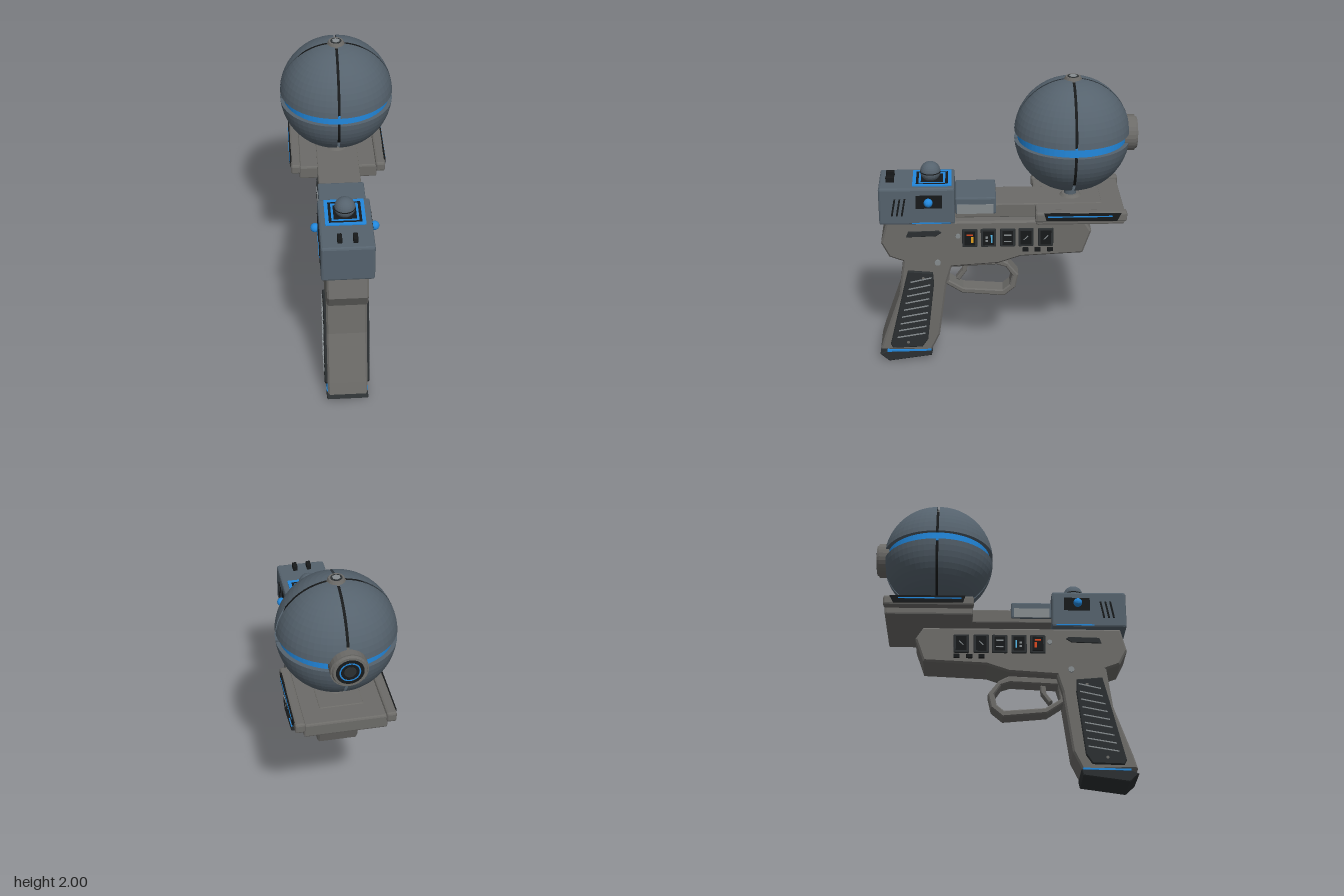
import * as THREE from 'three';
import { RoundedBoxGeometry } from 'three/addons/geometries/RoundedBoxGeometry.js';

const mat = (color, side = THREE.FrontSide) => {
  const m = new THREE.MeshStandardMaterial({ color, side, flatShading: true });
  return m;
};

export function createModel() {
  const root = new THREE.Group();
  root.name = 'orbBlaster';
  const grey = mat(0x6c6b68), slate = mat(0x55626d), shell = mat(0x55626d, THREE.DoubleSide);
  const dark = mat(0x2b2f31), black = mat(0x17191a), blue = mat(0x2288dd), pale = mat(0x858b8e);
  const orange = mat(0xd9481f), yellow = mat(0xe0a020), cyan = mat(0x55b8e8);

  const add = (name, geo, m, x = 0, y = 0, z = 0) => {
    const mesh = new THREE.Mesh(geo, m);
    mesh.name = name;
    mesh.position.set(x, y, z);
    root.add(mesh);
    return mesh;
  };
  // Box with optional chamfered edges
  const box = (name, w, h, d, m, x, y, z, r = 0) =>
    add(name, r ? new RoundedBoxGeometry(w, h, d, 1, r) : new THREE.BoxGeometry(w, h, d), m, x, y, z);
  const cyl = (name, r0, r1, h, m, x, y, z, n = 24) => add(name, new THREE.CylinderGeometry(r0, r1, h, n), m, x, y, z);
  // Side profile of (z, y) points, extruded across x and centred at x
  const plate = (name, pts, width, m, x = 0, bevel = 0, hole = null) => {
    const shape = new THREE.Shape(pts.map(p => new THREE.Vector2(...p)));
    if (hole) shape.holes.push(new THREE.Path(hole.map(p => new THREE.Vector2(...p))));
    const geo = new THREE.ExtrudeGeometry(shape, {
      depth: width - 2 * bevel, bevelEnabled: bevel > 0, bevelSize: bevel,
      bevelThickness: bevel, bevelOffset: -bevel, bevelSegments: 1,
    });
    geo.translate(0, 0, bevel - width / 2);
    geo.rotateY(-Math.PI / 2);
    return add(name, geo, m, x);
  };
  // Flat square ring lying on a top surface
  const squareRing = (name, outer, inner, m, y, z) => {
    const sq = (r) => [[-r, -r], [r, -r], [r, r], [-r, r]].map(p => new THREE.Vector2(...p));
    const shape = new THREE.Shape(sq(outer));
    shape.holes.push(new THREE.Path(sq(inner)));
    const geo = new THREE.ExtrudeGeometry(shape, { depth: 0.008, bevelEnabled: false });
    geo.rotateX(-Math.PI / 2);
    add(name, geo, m, 0, y, z);
  };

  // Frame with grip
  plate('frame', [[.77, 1.05], [-.52, 1.05], [-.57, .97], [-.515, .81], [-.106, .79], [.04, .74],
    [.35, .72], [.385, .6], [.44, .2], [.5, .075], [.845, .09], [.82, .175], [.705, .505],
    [.67, .765], [.76, .8], [.81, .9]], .26, grey, 0, .012);
  plate('gripBase', [[.85, .055], [.79, 0], [.5, .04], [.49, .082], [.81, .078]], .27, dark, 0, .006);
  plate('gripBaseStripe', [[.8, .074], [.5, .078], [.5, .09], [.8, .086]], .272, blue);

  // Trigger and guard
  plate('triggerGuard', [[.39, .735], [.04, .74], [-.025, .705], [-.095, .615], [-.075, .52], [0, .456],
    [.285, .483], [.4, .56]], .12, grey, 0, .008,
  [[.36, .68], [.05, .695], [-.01, .675], [-.053, .61], [-.037, .54], [.01, .5], [.275, .52], [.37, .58]]);
  plate('trigger', [[.28, .7], [.245, .69], [.25, .635], [.3, .565], [.325, .58], [.285, .635]], .06, grey, 0, .006);

  // Details on both flanks of the frame
  for (const s of [1, -1]) {
    plate('gripPanel', [[.64, .7], [.475, .685], [.47, .6], [.52, .175], [.56, .115], [.76, .11],
      [.775, .14], [.665, .6]], .03, dark, s * .132, .006);
    for (let i = 0; i < 9; i++) {
      const y = .635 - i * .053;
      const zb = .635 + (.6 - y) * .24, zf = .49 + (.6 - y) * .118;
      plate('gripRidge', [[zb, y - .02], [zf, y + .012], [zf, y + .02], [zb, y - .012]], .012, pale, s * .146);
    }
    for (const [y, z] of [[.648, .54], [.155, .655]])
      cyl('gripScrew', .01, .01, .012, grey, s * .144, y, z, 10).rotation.z = Math.PI / 2;
    plate('sideSlot', [[.645, .945], [.63, .985], [.43, .99], [.412, .975], [.45, .95]], .012, dark, s * .13, .003);
    for (const [y, z, r] of [[.95, .305, .016], [.757, .442, .02]])
      cyl('pin', r, r, .02, pale, s * .13, y, z, 12).rotation.z = Math.PI / 2;

    // Instrument windows, each with its own indicator
    [.228, .106, -.02, -.14, -.27].forEach((z, i) => {
      box('windowFrame', .02, .13, .1, dark, s * .13, .934, z, .006);
      box('windowGlass', .006, .1, .07, black, s * .139, .934, z);
      if (i === 0) {
        box('indicatorLamp', .004, .04, .016, s > 0 ? yellow : orange, s * .143, .925, z - .015);
        box('indicatorBar', .004, .01, .04, orange, s * .143, .96, z);
      } else if (i === 1) {
        box('indicatorLamp', .004, .055, .01, cyan, s * .143, .93, z - .02);
        for (const y of [.915, .94]) box('indicatorBar', .004, .014, .016, pale, s * .143, y, z + .01);
      } else if (i === 2) {
        for (const y of [.91, .955]) box('indicatorBar', .004, .008, .05, pale, s * .143, y, z);
      } else {
        box('needle', .004, .006, .04, pale, s * .143, .935, z).rotation.x = .8;
      }
    });
    for (const z of [-.138, -.217, -.3]) box('sideButton', .025, .028, .04, black, s * .13, .845, z, .004);
  }

  // Upper beam and cover
  box('beam', .28, .095, .95, grey, 0, 1.132, -.155, .008);
  box('beamCover', .3, .115, .265, slate, 0, 1.172, .187, .01);
  for (const s of [1, -1]) box('coverPanel', .008, .065, .235, pale, s * .15, 1.152, .19);

  // Control head
  box('head', .33, .255, .49, slate, 0, 1.177, .567, .014);
  for (const s of [1, -1]) {
    box('lampPlate', .012, .09, .17, black, s * .164, 1.213, .488);
    add('sideLamp', new THREE.SphereGeometry(.029, 16, 12), blue, s * .186, 1.215, .492);
    for (let i = 0; i < 3; i++) {
      const z = .735 - i * .032;
      plate('vent', [[z, 1.115], [z - .012, 1.115], [z - .034, 1.235], [z - .022, 1.235]], .006, black, s * .165);
    }
    box('headStripe', .006, .008, .25, blue, s * .165, 1.062, .475);
    box('topButton', .03, .04, .055, black, s * .048, 1.325, .74, .005);
  }
  squareRing('outerTopRing', .126, .103, blue, 1.304, .468);
  squareRing('darkTopRing', .103, .086, black, 1.302, .468);
  squareRing('innerTopRing', .086, .072, blue, 1.304, .468);
  box('knobPad', .144, .006, .144, black, 0, 1.305, .468);
  cyl('knobNeck', .028, .045, .04, dark, 0, 1.315, .478, 16);
  add('knob', new THREE.SphereGeometry(.066, 24, 16), slate, 0, 1.358, .478);
  cyl('knobSeam', .0668, .0668, .007, black, 0, 1.358, .478);

  // Orb platform with side rails
  box('platform', .52, .095, .57, grey, 0, 1.128, -.482, .012);
  for (const s of [1, -1]) {
    box('rail', .065, .068, .585, grey, s * .283, 1.158, -.483, .014);
    plate('railGroove', [[-.245, 1.19], [-.735, 1.185], [-.71, 1.135], [-.26, 1.14]], .012, black, s * .315);
    box('railLight', .006, .008, .41, blue, s * .321, 1.168, -.475);
  }
  cyl('orbFoot', .055, .075, .02, grey, 0, 1.185, -.435);
  cyl('orbNeck', .04, .04, .07, slate, 0, 1.22, -.435);

  // Orb: eight shell segments around a dark core, with a lit equator band
  const cy = 1.612, cz = -.435, R = .362, gap = .01;
  add('orbCore', new THREE.SphereGeometry(.338, 40, 28), black, 0, cy, cz);
  cyl('orbBand', .347, .347, .056, blue, 0, cy, cz, 64);
  for (const v of [1, -1]) {
    const profile = [new THREE.Vector2(.33, v * .03)];
    const start = Math.asin(.03 / R);
    for (let i = 0; i <= 14; i++) {
      const a = start + (Math.PI / 2 - start) * i / 14;
      profile.push(new THREE.Vector2(R * Math.cos(a), v * (R * Math.sin(a) + .008 * i / 14)));
    }
    if (v < 0) profile.reverse();
    for (let q = 0; q < 4; q++) {
      const phi = q * Math.PI / 2, mid = phi + Math.PI / 4;
      add('orbShell', new THREE.LatheGeometry(profile, 14, phi, Math.PI / 2), shell,
        Math.sin(mid) * gap * 1.2, cy, cz + Math.cos(mid) * gap * 1.2);
    }
  }
  cyl('orbCap', .048, .058, .022, grey, 0, 1.984, cz, 20);
  cyl('orbCapInset', .036, .036, .004, dark, 0, 1.995, cz, 20);
  cyl('orbCapBolt', .026, .026, .01, pale, 0, 1.995, cz, 6);

  // Rear port of the orb
  const port = (name, r0, r1, h, m, z) => { cyl(name, r0, r1, h, m, 0, cy, z, 28).rotation.x = -Math.PI / 2; };
  port('portCollar', .115, .115, .07, grey, -.8);
  port('portRim', .1, .108, .016, grey, -.842);
  port('portWell', .085, .085, .004, black, -.85);
  port('portLens', .035, .04, .006, dark, -.851);
  add('portLight', new THREE.TorusGeometry(.06, .008, 6, 32), blue, 0, cy, -.846);

  return root;
}
